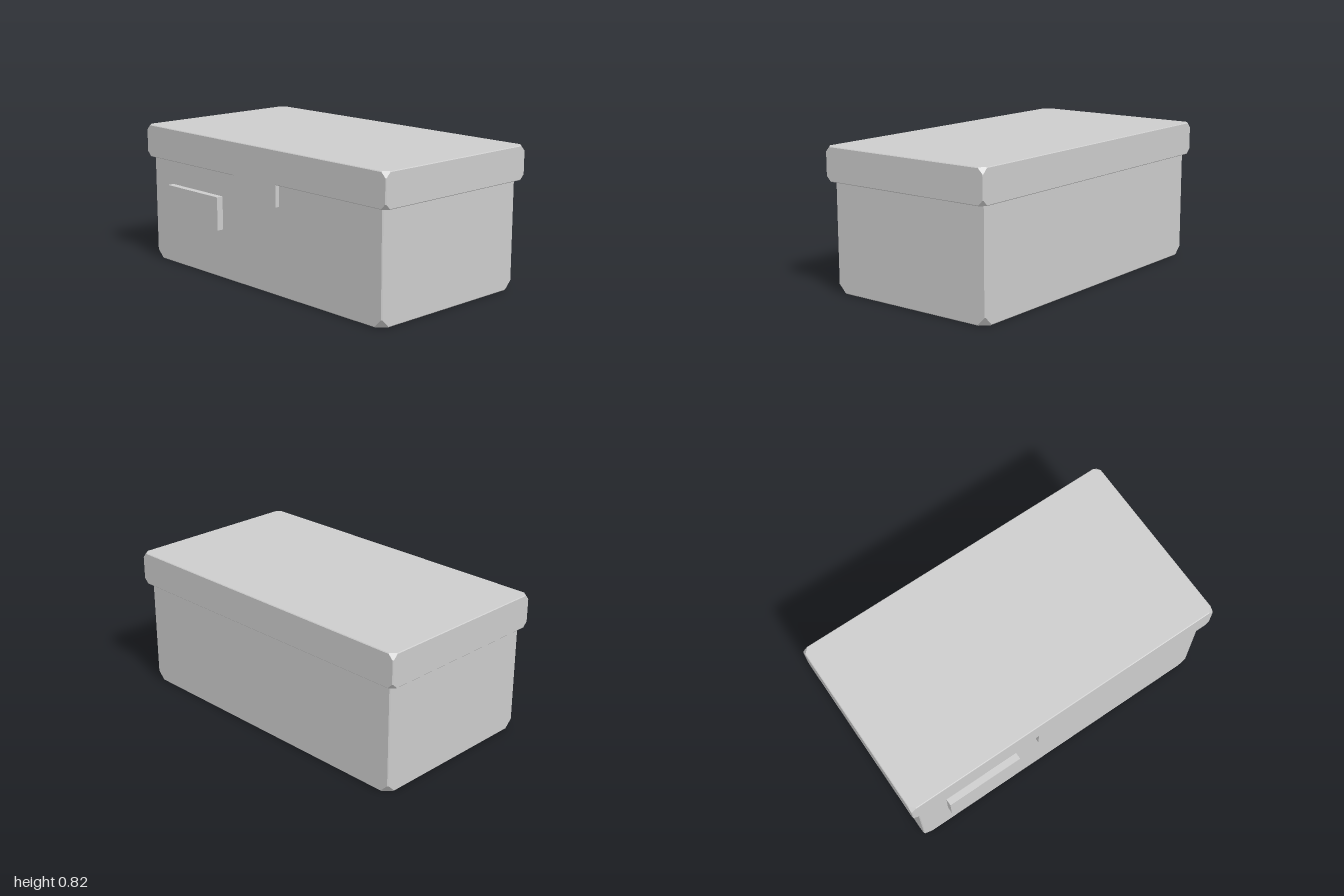
import * as THREE from 'three';
import { ConvexGeometry } from 'three/addons/geometries/ConvexGeometry.js';

// Box given by its min and max corners, with clipped corners and hairline edge bevels
function clippedBox(min, max, clip, bevel) {
  const points = [];
  const insets = [
    [clip, 0, bevel], [clip, bevel, 0], [0, clip, bevel],
    [bevel, clip, 0], [0, bevel, clip], [bevel, 0, clip],
  ];
  for (let corner = 0; corner < 8; corner++) {
    for (const inset of insets) {
      const p = inset.map((d, axis) => ((corner >> axis) & 1 ? max[axis] - d : min[axis] + d));
      points.push(new THREE.Vector3(...p));
    }
  }
  return new ConvexGeometry(points);
}

function plainBox(min, max) {
  const size = max.map((v, i) => v - min[i]);
  const mid = max.map((v, i) => (v + min[i]) / 2);
  return new THREE.BoxGeometry(...size).translate(...mid);
}

export function createModel() {
  const group = new THREE.Group();
  group.name = 'storageBox';
  const grey = new THREE.MeshStandardMaterial({ color: 0xcccccc });
  grey.name = 'light grey';

  const add = (name, geometry) => {
    const mesh = new THREE.Mesh(geometry, grey);
    mesh.name = name;
    group.add(mesh);
  };

  // Body runs up a little way into the lid
  add('body', clippedBox([-0.96, 0, -0.528], [0.956, 0.7, 0.515], 0.05, 0.005));
  // Overhanging lid
  add('lid', clippedBox([-1, 0.63, -0.555], [1, 0.824, 0.541], 0.031, 0.004));
  // Tab hanging from the lid, flush with its front
  add('lidTab', plainBox([-0.18, 0.507, 0.5], [0.178, 0.67, 0.541]));
  // Raised label block on the front
  add('label', plainBox([-0.782, 0.29, 0.5], [-0.314, 0.485, 0.555]));

  return group;
}
